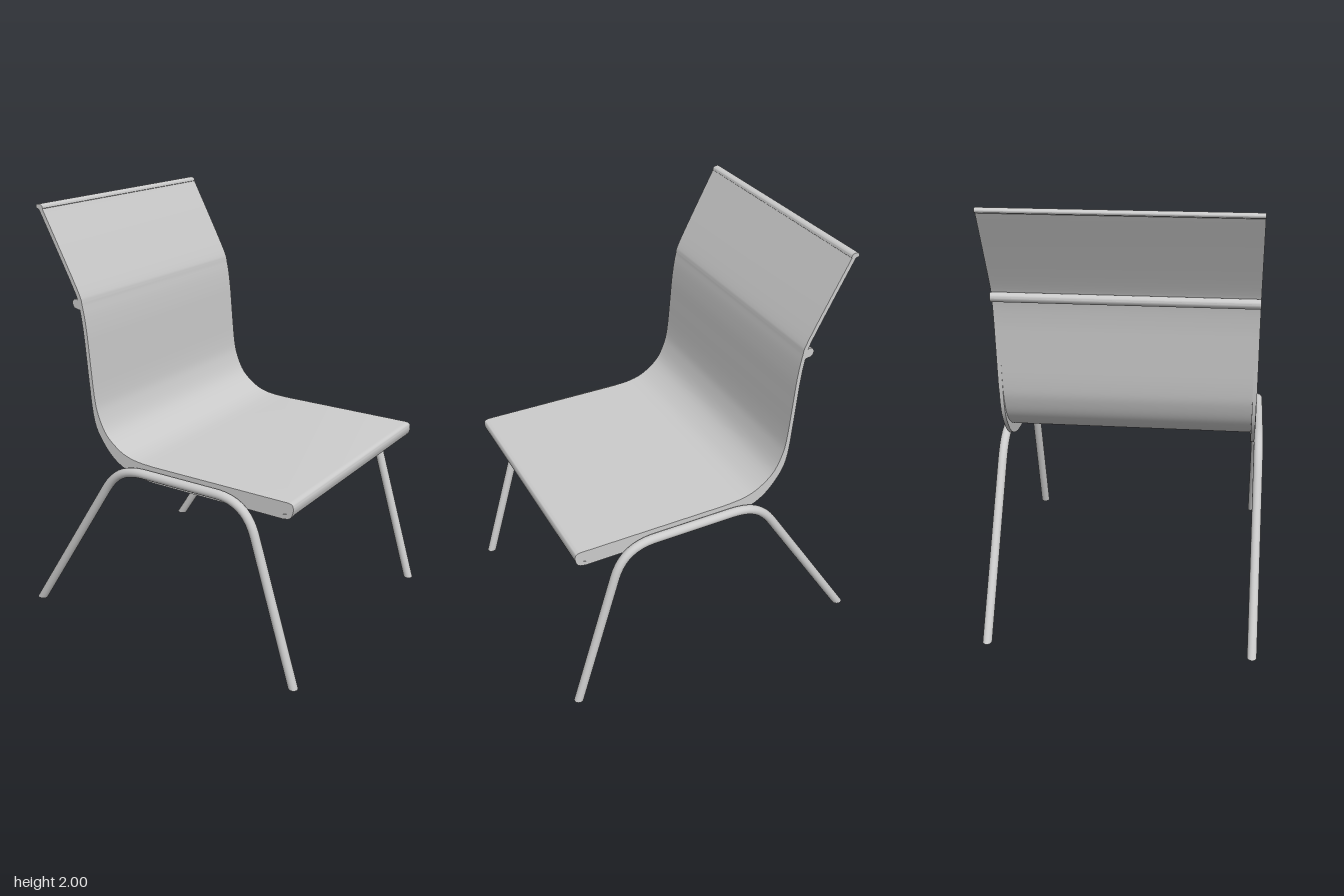
import * as THREE from 'three';
import { toCreasedNormals } from 'three/addons/utils/BufferGeometryUtils.js';

const V2 = (p) => new THREE.Vector2(p[0], p[1]);

function smooth(points, n) {
  return new THREE.SplineCurve(points.map(V2)).getPoints(n);
}

// Closed outline around a centre-less strip: the line itself plus its offset copy.
function strip(line, t) {
  const other = line.map((p, i) => {
    const a = line[Math.max(i - 1, 0)], b = line[Math.min(i + 1, line.length - 1)];
    const d = b.clone().sub(a).normalize();
    return new THREE.Vector2(p.x - d.y * t, p.y + d.x * t);
  });
  return [...line, ...other.reverse()];
}

// Extrude an x-y outline from z0 to z1.
function slab(outline, z0, z1) {
  const g = new THREE.ExtrudeGeometry(new THREE.Shape(outline), { depth: z1 - z0, bevelEnabled: false });
  g.translate(0, 0, z0);
  return toCreasedNormals(g, 0.6);
}

export function createModel() {
  const group = new THREE.Group();
  const mat = new THREE.MeshStandardMaterial({ color: 0xcccccc, side: THREE.DoubleSide });
  const add = (name, geo, parent = group) => {
    const m = new THREE.Mesh(geo, mat);
    m.name = name;
    parent.add(m);
    return m;
  };
  const W = 0.59;

  // Bent sheet: back top, down the backrest, round the bend, along the seat
  const back = [[-0.612, 1.985], [-0.43, 1.645], [-0.4, 1.56], [-0.382, 1.45], [-0.37, 1.32], [-0.354, 1.15],
    [-0.335, 1.06], [-0.29, 0.97], [-0.21, 0.905], [-0.13, 0.878], [-0.03, 0.87]];
  const inner = smooth(back, 60);
  const lip = smooth([[0.68, 0.87], [0.698, 0.865], [0.705, 0.85], [0.703, 0.825], [0.69, 0.803], [0.66, 0.793]], 16);
  add('seatShell', slab(strip([...inner, ...lip], -0.02), -W, W));

  // Rolled top edge
  add('topRoll', slab(smooth([[-0.607, 1.982], [-0.613, 1.995], [-0.63, 2.0], [-0.645, 1.995], [-0.645, 1.982],
    [-0.632, 1.977], [-0.62, 1.968]], 20), -W, W));

  // Small curled bar across the rear of the backrest
  add('backBar', slab(smooth([[-0.41, 1.565], [-0.428, 1.59], [-0.45, 1.588], [-0.458, 1.57], [-0.447, 1.551],
    [-0.425, 1.545], [-0.4, 1.54]], 20), -W, W));

  // Side flanges, deep under the seat and thinning up the backrest
  const upper = inner.filter((p) => p.y < 1.52);
  const under = smooth([[0.705, 0.85], [0.7, 0.815], [0.685, 0.797], [0.655, 0.79]], 10);
  const rear = smooth([[-0.02, 0.79], [-0.1, 0.797], [-0.18, 0.82], [-0.25, 0.86], [-0.31, 0.925], [-0.352, 1.0],
    [-0.372, 1.1], [-0.384, 1.25], [-0.394, 1.4], [-0.406, 1.51]], 40);
  const flange = [...upper, V2([0.69, 0.868]), ...under, ...rear];
  for (const s of [1, -1]) {
    const c = s * 0.579;
    add(s > 0 ? 'leftFlange' : 'rightFlange', slab(flange, c - 0.009, c + 0.009));
  }

  // Cross rods under the seat
  for (const x of [0.33, 0.02]) {
    const rod = add('crossRod', new THREE.CylinderGeometry(0.013, 0.013, 2 * W, 12));
    rod.rotation.x = Math.PI / 2;
    rod.position.set(x, 0.815, 0);
  }

  // Bent tube leg frames with feet cut flat on the floor
  const R = 0.022;
  const P = (x, y) => new THREE.Vector3(x, y, 0);
  const path = new THREE.CurvePath();
  path.add(new THREE.LineCurve3(P(-0.74, 0), P(-0.29, 0.705)));
  path.add(new THREE.CubicBezierCurve3(P(-0.29, 0.705), P(-0.235, 0.79), P(-0.18, 0.833), P(-0.06, 0.833)));
  path.add(new THREE.LineCurve3(P(-0.06, 0.833), P(0.33, 0.833)));
  path.add(new THREE.CubicBezierCurve3(P(0.33, 0.833), P(0.45, 0.833), P(0.505, 0.77), P(0.532, 0.675)));
  path.add(new THREE.LineCurve3(P(0.532, 0.675), P(0.735, 0)));
  const sides = 16, segs = 90;
  const tube = new THREE.TubeGeometry(path, segs, R, sides);
  const pos = tube.attributes.position;
  const slide = (ring, slope) => {
    for (let j = 0; j <= sides; j++) {
      const i = ring * (sides + 1) + j;
      pos.setXYZ(i, pos.getX(i) - pos.getY(i) * slope, 0, pos.getZ(i));
    }
  };
  slide(0, 0.45 / 0.705);
  slide(segs, -0.203 / 0.675);
  for (const s of [1, -1]) {
    const frame = new THREE.Group();
    frame.name = s > 0 ? 'leftLegFrame' : 'rightLegFrame';
    frame.position.z = s * 0.61;
    add('legTube', tube, frame);
    for (const [x, k] of [[-0.74, 1.186], [0.735, 1.044]]) {
      const foot = add('footEnd', new THREE.CircleGeometry(R, sides), frame);
      foot.rotation.x = Math.PI / 2;
      foot.scale.x = k;
      foot.position.x = x;
    }
    group.add(frame);
  }
  return group;
}
